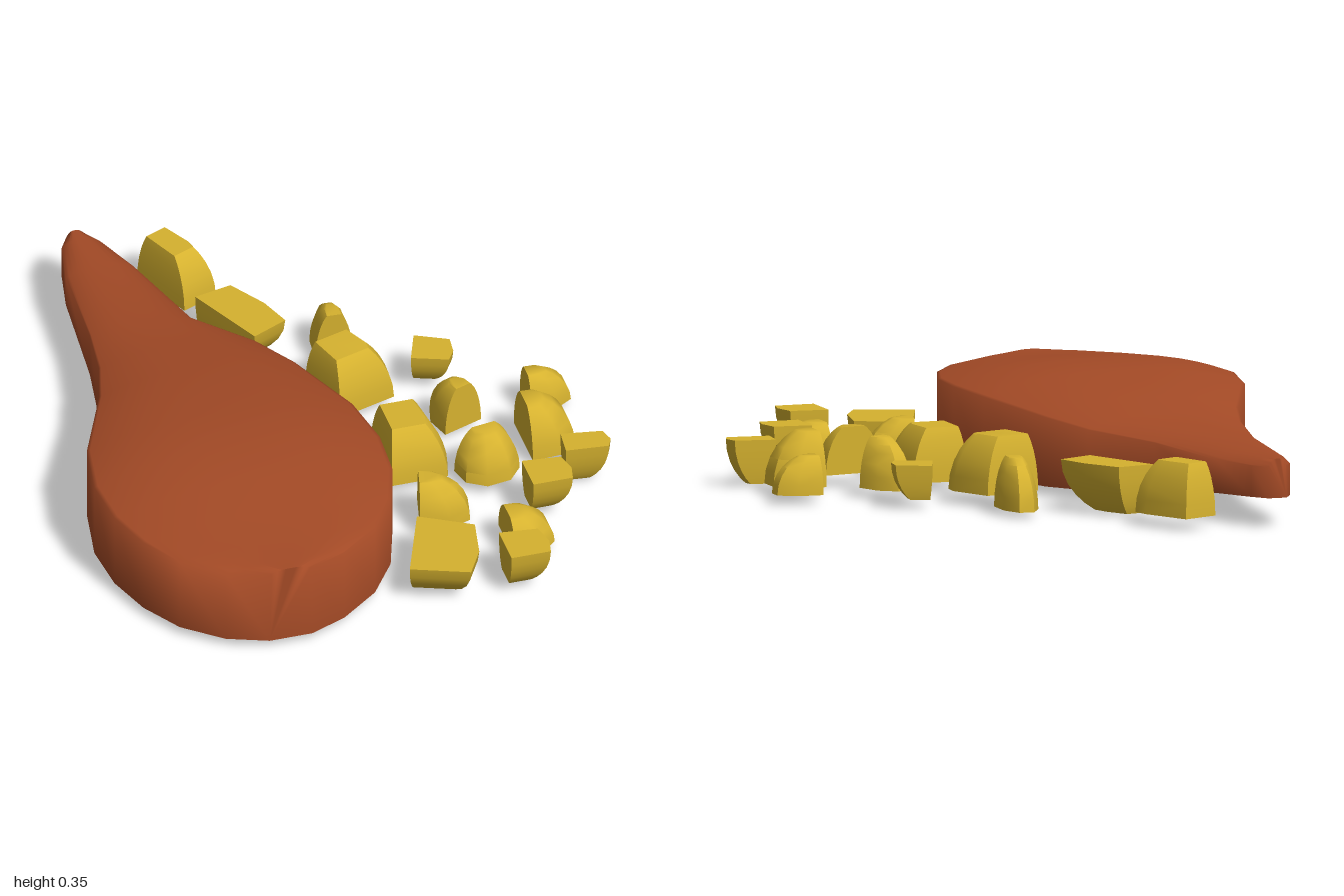
import * as THREE from 'three';
import { toCreasedNormals } from 'three/addons/utils/BufferGeometryUtils.js';
import { ConvexGeometry } from 'three/addons/geometries/ConvexGeometry.js';

const { smoothstep } = THREE.MathUtils;

// Drumstick outline: z, left x, right x
const OUTLINE = [
  [-1, -0.52, -0.46], [-0.95, -0.55, -0.42], [-0.8, -0.58, -0.36],
  [-0.47, -0.6, -0.27], [-0.27, -0.63, -0.12], [-0.1, -0.68, -0.04],
  [0.2, -0.81, 0.06], [0.4, -0.845, 0.09], [0.57, -0.83, 0.08],
  [0.72, -0.78, 0.03], [0.85, -0.7, -0.06], [0.95, -0.58, -0.19],
  [1, -0.45, -0.31],
];

// Cross-sections along z: flat bottom, upright walls and a domed top
function drumstickGeometry() {
  const pos = [], idx = [], steps = 14, n = steps + 3;
  for (const [z, xl, xr] of OUTLINE) {
    const swell = smoothstep(z, -0.75, 0.4);
    const bottom = 0.095 - 0.065 * smoothstep(z, -0.95, -0.1);
    const rim = 0.195 + 0.09 * swell;
    const crown = 0.22 + 0.13 * swell - 0.05 * smoothstep(z, 0.35, 1);
    pos.push(xl, bottom, z);
    for (let j = 0; j <= steps; j++) {
      const u = Math.sin((j / steps - 0.5) * Math.PI);
      const y = rim + (crown - rim) * (1 - Math.abs(u) ** 2.8);
      pos.push((xl + xr) / 2 + (u * (xr - xl)) / 2, y, z);
    }
    pos.push(xr, bottom, z);
  }
  const last = (OUTLINE.length - 1) * n;
  for (let i = 0; i < last; i += n) {
    for (let j = 0; j < n; j++) {
      const k = (j + 1) % n;
      idx.push(i + j, i + n + j, i + k, i + n + j, i + n + k, i + k);
    }
  }
  // End caps
  for (let j = 1; j < n - 1; j++) {
    idx.push(0, j, j + 1, last, last + j + 1, last + j);
  }
  const g = new THREE.BufferGeometry();
  g.setAttribute('position', new THREE.Float32BufferAttribute(pos, 3));
  g.setIndex(idx);
  return toCreasedNormals(g, 1.45);
}

// Unit footprints; each chunk rounds in towards its cut point, up or down
const ROUND = {
  foot: [[-0.5, 0.5], [-0.47, -0.1], [-0.2, -0.5], [0.2, -0.5], [0.47, -0.1], [0.5, 0.5]],
  cut: [0, 0.5], up: true, shrink: 0.85,
};
const BLOCK = {
  foot: [[-0.5, -0.5], [0.4, -0.5], [0.5, 0.25], [0.42, 0.5], [-0.5, 0.5]],
  cut: [-0.25, -0.2], up: true, shrink: 0.65,
};
const WEDGE = {
  foot: [[-0.5, -0.5], [0.38, -0.4], [0.5, 0.1], [0.42, 0.5], [-0.5, 0.5]],
  cut: [-0.4, -0.3], up: false, shrink: 0.7,
};

function chunkGeometry({ foot, cut, up, shrink }, width, depth, height) {
  const pts = [], levels = 6;
  for (let i = 0; i <= levels; i++) {
    const t = Math.sin((i / levels) * Math.PI / 2);
    const s = Math.sqrt(1 - shrink * t * t);
    for (const [x, z] of foot) {
      pts.push(new THREE.Vector3(
        width * (cut[0] + (x - cut[0]) * s),
        height * (up ? t : 1 - t),
        depth * (cut[1] + (z - cut[1]) * s),
      ));
    }
  }
  return toCreasedNormals(new ConvexGeometry(pts), 0.75);
}

// Rows: x, z, width, depth, turn, bottom, top
const ROUND_CHUNKS = [
  [0.18, -0.47, 0.12, 0.16, -0.05, 0.02, 0.18],
  [0.43, 0.03, 0.14, 0.14, 0.35, 0.03, 0.19],
  [0.69, 0.225, 0.21, 0.155, -1.57, 0.03, 0.2],
  [0.265, 0.52, 0.16, 0.16, -1.8, 0.03, 0.18],
  [0.485, 0.715, 0.19, 0.145, -1.57, 0.03, 0.15],
  [0.75, 0.025, 0.13, 0.14, -1.57, 0.03, 0.15],
  [0.465, 0.365, 0.2, 0.12, 3.3, 0.04, 0.19],
];
const BLOCK_CHUNKS = [
  [-0.195, -0.86, 0.14, 0.23, 0.41, 0.04, 0.21],
  [0.17, -0.175, 0.22, 0.2, 0.3, 0.04, 0.22],
  [0.25, 0.215, 0.2, 0.23, 0, 0.03, 0.2],
];
const WEDGE_CHUNKS = [
  [-0.085, -0.53, 0.14, 0.28, 0.44, 0.01, 0.165],
  [0.44, -0.19, 0.13, 0.12, -0.36, 0.03, 0.14],
  [0.76, 0.425, 0.15, 0.09, -0.1, 0.01, 0.15],
  [0.595, 0.565, 0.14, 0.13, 0, 0.04, 0.17],
  [0.185, 0.815, 0.21, 0.28, -0.37, 0, 0.14],
  [0.42, 0.905, 0.14, 0.14, 0, 0.03, 0.165],
];

export function createModel() {
  const meat = new THREE.MeshStandardMaterial({ color: 0xa34a26 });
  meat.name = 'roast brown';
  const potato = new THREE.MeshStandardMaterial({ color: 0xd6b22f });
  potato.name = 'potato yellow';

  const model = new THREE.Group();
  model.name = 'roastWithPotatoes';

  const drumstick = new THREE.Mesh(drumstickGeometry(), meat);
  drumstick.name = 'drumstick';
  model.add(drumstick);

  // Scattered potato chunks
  const addChunks = (name, shape, rows) => {
    const group = new THREE.Group();
    group.name = name;
    for (const [x, z, width, depth, turn, bottom, top] of rows) {
      const chunk = new THREE.Mesh(chunkGeometry(shape, width, depth, top - bottom), potato);
      chunk.name = 'potatoChunk';
      chunk.position.set(x, bottom, z);
      chunk.rotation.y = turn;
      group.add(chunk);
    }
    model.add(group);
  };
  addChunks('roundPotatoes', ROUND, ROUND_CHUNKS);
  addChunks('blockPotatoes', BLOCK, BLOCK_CHUNKS);
  addChunks('wedgePotatoes', WEDGE, WEDGE_CHUNKS);
  return model;
}
